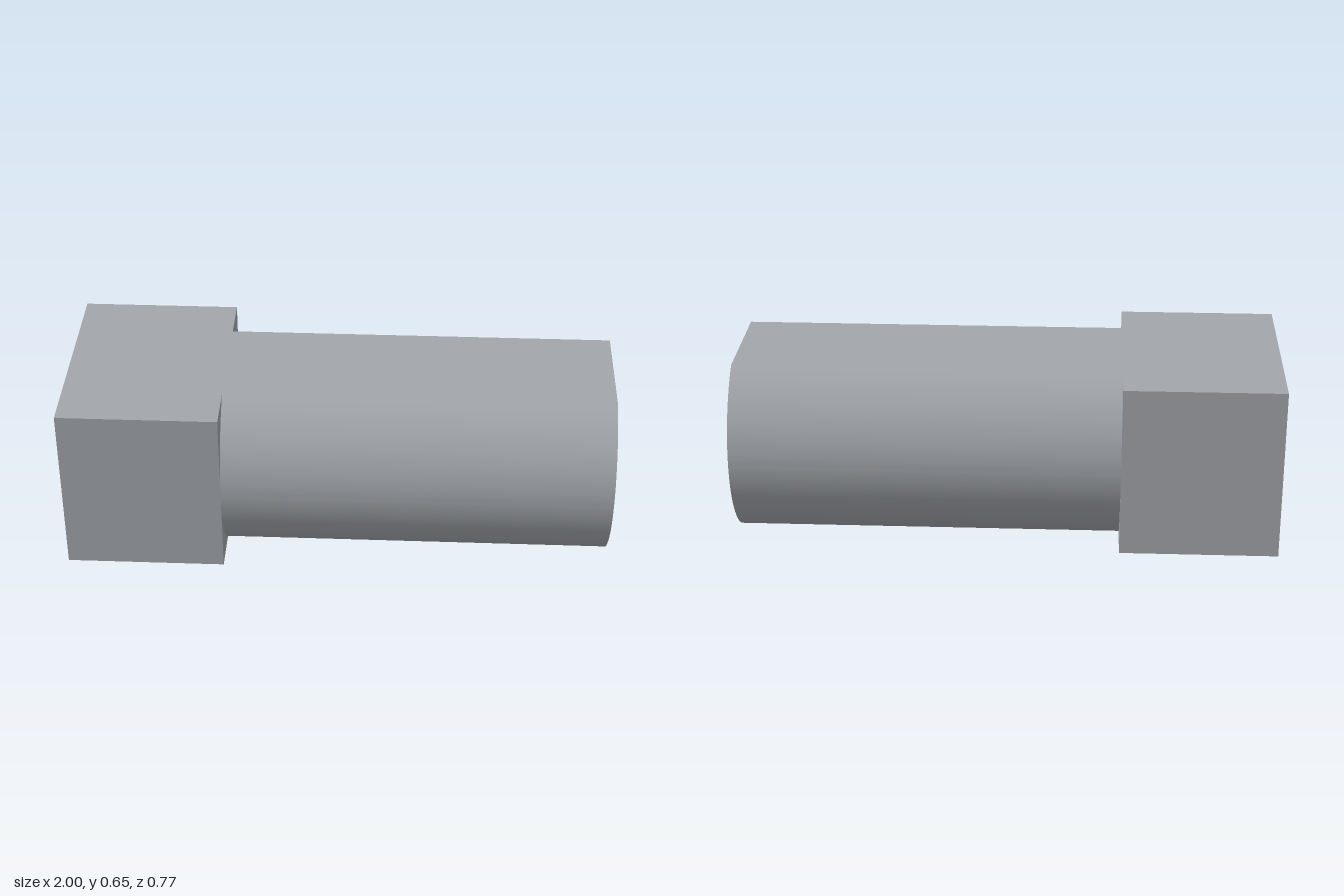
import * as THREE from 'three';
import { toCreasedNormals } from 'three/addons/utils/BufferGeometryUtils.js';

export function createModel() {
  const group = new THREE.Group();
  const steel = new THREE.MeshStandardMaterial({ color: 0xa3a7ac });
  steel.name = 'steel grey';

  const height = 0.646, radius = 0.387, shoulder = -0.42;

  // Block head
  const headLength = shoulder + 1;
  const head = new THREE.Mesh(new THREE.BoxGeometry(headLength, height, radius * 2), steel);
  head.name = 'head';
  head.position.set(-1 + headLength / 2, height / 2, 0);
  group.add(head);

  // Round shank with flats cut on top and bottom, extruded along x
  const a = Math.asin(height / 2 / radius);
  const section = new THREE.Shape();
  section.absarc(0, 0, radius, -a, a, false);
  section.absarc(0, 0, radius, Math.PI - a, Math.PI + a, false);
  section.closePath();
  const geometry = new THREE.ExtrudeGeometry(section, {
    depth: 1 - shoulder, bevelEnabled: false, curveSegments: 40,
  });
  geometry.rotateY(Math.PI / 2);
  const shank = new THREE.Mesh(toCreasedNormals(geometry, 0.4), steel);
  shank.name = 'shank';
  shank.position.set(shoulder, height / 2, 0);
  group.add(shank);

  return group;
}
